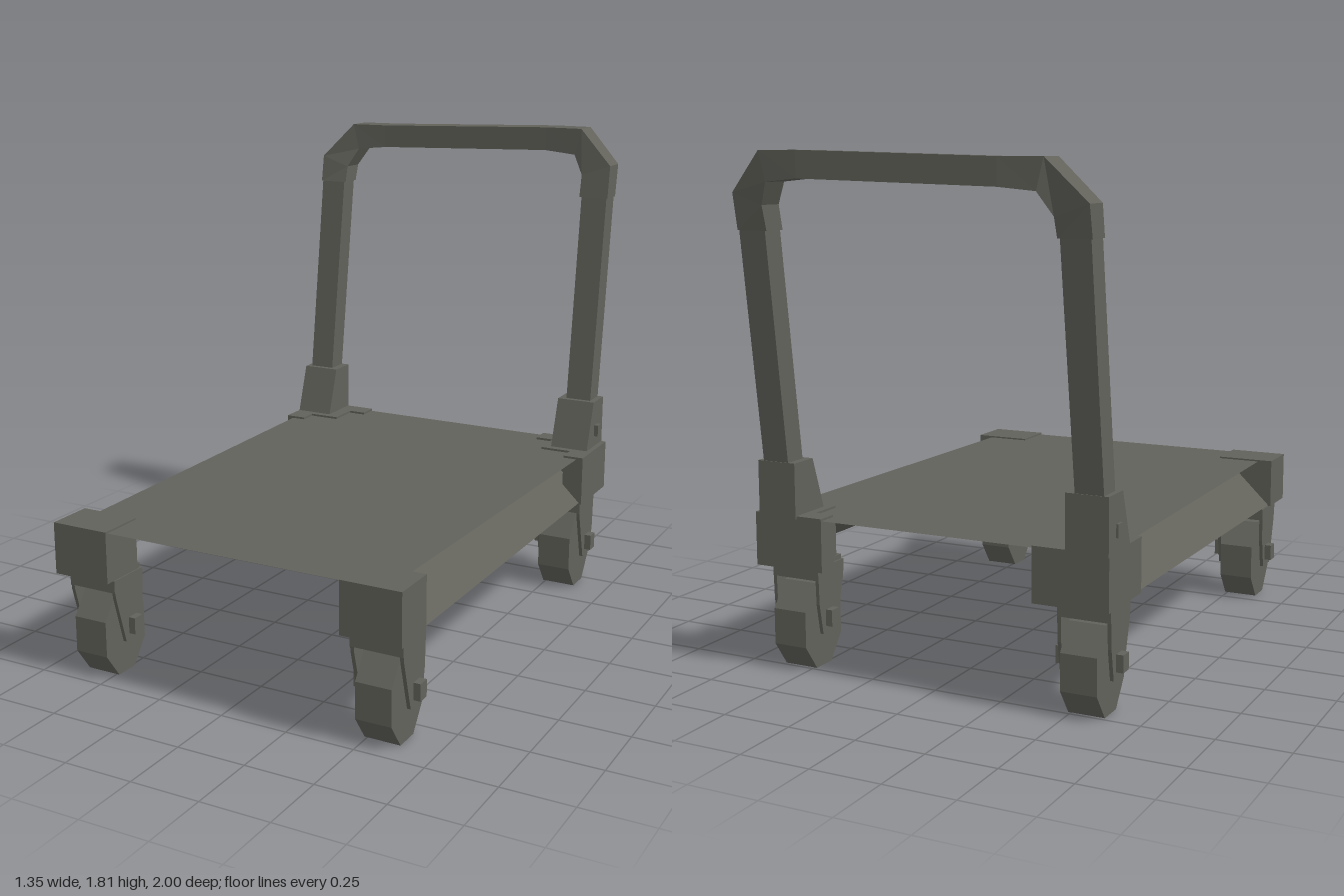
import * as THREE from 'three';

const grey = new THREE.MeshStandardMaterial({ color: 0x62625b, side: THREE.DoubleSide });
grey.name = 'dark grey';

function part(name, geometry, parent) {
  const mesh = new THREE.Mesh(geometry, grey);
  mesh.name = name;
  parent.add(mesh);
  return mesh;
}

function box(name, w, h, d, x, y, z, parent) {
  part(name, new THREE.BoxGeometry(w, h, d), parent).position.set(x, y, z);
}

function extrude(points, depth) {
  const shape = new THREE.Shape(points.map(([a, b]) => new THREE.Vector2(a, b)));
  return new THREE.ExtrudeGeometry(shape, { depth, bevelEnabled: false });
}

// Side profile given as [z, y], centred on x
const sideProfile = (points, width) =>
  extrude(points, width).translate(0, 0, -width / 2).rotateY(-Math.PI / 2);

// Plan outline given as [x, z], filled from y0 up to y1
const plan = (points, y0, y1) =>
  extrude(points, y1 - y0).rotateX(Math.PI / 2).translate(0, y1, 0);

// Flat-shaded skin through equal-length loops of [x, y, z] points
function skin(loops, closed) {
  const n = loops[0].length;
  const index = [];
  for (let i = 0; i < loops.length - 1; i++) {
    for (let j = 0; j < (closed ? n : n - 1); j++) {
      const a = i * n + j, b = i * n + (j + 1) % n;
      index.push(a, b, b + n, a, b + n, a + n);
    }
  }
  const g = new THREE.BufferGeometry();
  g.setAttribute('position', new THREE.Float32BufferAttribute(loops.flat(2), 3));
  g.setIndex(index);
  const flat = g.toNonIndexed();
  flat.computeVertexNormals();
  return flat;
}

// Wheel in a fork, hanging under a corner block
function castor(name, x, z) {
  const g = new THREE.Group();
  g.name = name;
  g.position.set(x, 0, z);
  const wheel = new THREE.CylinderGeometry(1, 1, 0.13, 8, 1).rotateY(Math.PI / 8)
    .rotateZ(Math.PI / 2).scale(1, 0.155 / 0.924, 0.11 / 0.924)
    .translate(0, 0.157, 0).toNonIndexed();
  wheel.computeVertexNormals();
  part('wheel', wheel, g);
  box('forkTop', 0.19, 0.045, 0.16, 0, 0.35, 0.01, g);
  box('mountPlate', 0.175, 0.02, 0.15, 0, 0.38, 0.01, g);
  const cheek = sideProfile([[-0.07, 0.37], [0.09, 0.37], [0.085, 0.31],
    [0.035, 0.13], [-0.045, 0.13], [-0.065, 0.24]], 0.013);
  for (const s of [-1, 1]) {
    part('forkCheek', cheek, g).position.x = s * 0.0885;
    box('axleNut', 0.027, 0.06, 0.045, s * 0.107, 0.185, -0.005, g);
  }
  return g;
}

export function createModel() {
  const model = new THREE.Group();
  model.name = 'platformTrolley';

  // Thin platform, a little wider towards the handle
  const deckRow = (z, w) => [[-w, 0.562, z], [w, 0.562, z]];
  part('deck', skin([deckRow(0.99, 0.61), deckRow(-0.82, 0.65)], false), model);

  // Corner blocks, handle brackets and castors on both sides
  const backBlock = [[0.4, -0.825], [0.67, -0.825], [0.67, -0.56], [0.59, -0.56],
    [0.59, -0.63], [0.47, -0.63], [0.47, -0.75], [0.4, -0.75]];
  const bracket = sideProfile([[-0.83, 0.56], [-0.655, 0.56], [-0.72, 0.755], [-0.83, 0.755]], 0.15);
  for (const s of [-1, 1]) {
    const side = s > 0 ? 'left' : 'right';
    // Sloping skirt under the deck edge
    part(side + 'Skirt', skin([0.98, -0.81].map(z =>
      [[s * 0.48, 0.56, z], [s * 0.66, 0.385, z]]), false), model);
    box(side + 'FrontCorner', 0.22, 0.186, 0.17, s * 0.56, 0.475, 0.915, model);
    part(side + 'BackCorner', plan(backBlock.map(([x, z]) => [s * x, z]), 0.38, 0.57), model);
    part(side + 'HandleBracket', bracket, model).position.x = s * 0.585 - 0.01;
    box(side + 'BracketBolt', 0.02, 0.045, 0.035, s * 0.662 - 0.006, 0.635, -0.755, model);
    model.add(castor(side + 'FrontCastor', s * 0.555, 0.86));
    model.add(castor(side + 'BackCastor', s * 0.555, -0.69));
  }

  // Push handle: outer x, outer y, inner x, inner y, front z, back z
  const half = [
    [0.64, 0.7, 0.54, 0.7, -0.733, -0.82],
    [0.638, 1.55, 0.535, 1.55, -0.845, -0.93],
    [0.643, 1.55, 0.527, 1.55, -0.842, -0.932],
    [0.643, 1.665, 0.527, 1.625, -0.86, -0.955],
    [0.51, 1.802, 0.485, 1.7, -0.885, -0.99],
    [0.36, 1.802, 0.36, 1.712, -0.89, -1],
  ];
  const loop = s => ([ox, oy, ix, iy, zf, zb]) =>
    [[ox, oy, zf], [ox, oy, zb], [ix, iy, zb], [ix, iy, zf]]
      .map(([x, y, z]) => [s * x - 0.012, y + (y > 1.6 ? s * 0.01 : 0), z]);
  const loops = [...half.map(loop(1)), ...half.map(loop(-1)).reverse()];
  part('handle', skin(loops, true), model);

  return model;
}
